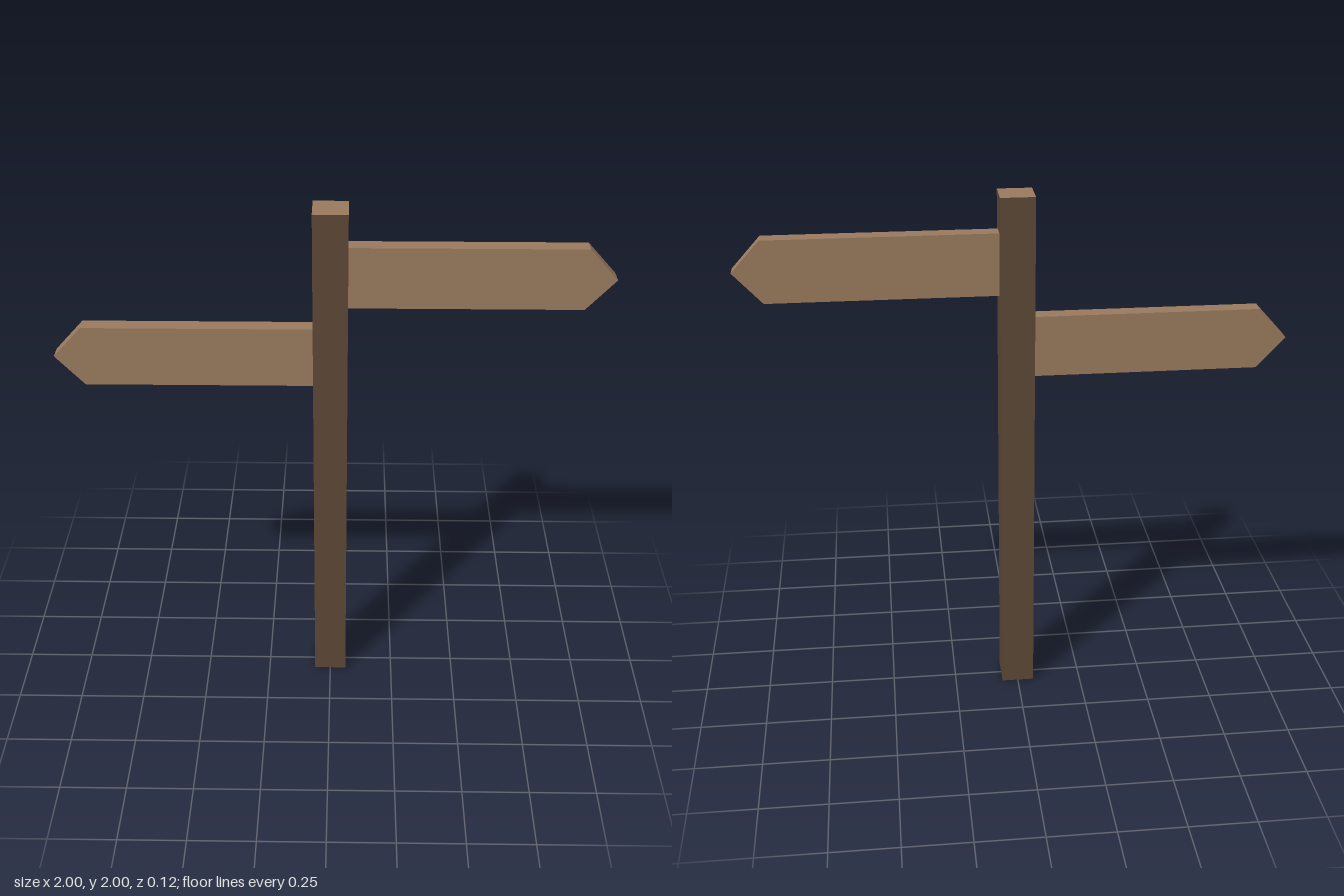
import * as THREE from 'three';

const POST = 0.125;      // post width and depth
const THICK = 0.06;      // board thickness
const HALF = 0.115;      // half of the board height
const SHOULDER = 0.895;  // where the arrow point begins

// Arrow board reaching from the post face to x = 1 (side 1) or x = -1 (side -1)
function makeBoard(name, side, y, material) {
  const points = [
    [POST / 2, -HALF], [SHOULDER, -HALF], [1, 0], [SHOULDER, HALF], [POST / 2, HALF],
  ].map(([px, py]) => new THREE.Vector2(px * side, py));
  const geometry = new THREE.ExtrudeGeometry(new THREE.Shape(points), {
    depth: THICK, bevelEnabled: false,
  });
  geometry.translate(0, 0, -THICK / 2);
  const board = new THREE.Mesh(geometry, material);
  board.name = name;
  board.position.y = y;
  return board;
}

export function createModel() {
  const darkWood = new THREE.MeshStandardMaterial({ color: 0x5e4936 });
  darkWood.name = 'darkWood';
  const lightWood = new THREE.MeshStandardMaterial({ color: 0x9b7b5e });
  lightWood.name = 'lightWood';

  const model = new THREE.Group();
  model.name = 'signpost';

  // Square post: dark sides, light cut ends
  const post = new THREE.Mesh(
    new THREE.BoxGeometry(POST, 2, POST),
    [darkWood, darkWood, lightWood, lightWood, darkWood, darkWood],
  );
  post.name = 'post';
  post.position.y = 1;
  model.add(post);

  // Two pointed direction boards
  model.add(makeBoard('leftBoard', 1, 1.75, lightWood));
  model.add(makeBoard('rightBoard', -1, 1.435, lightWood));

  return model;
}
